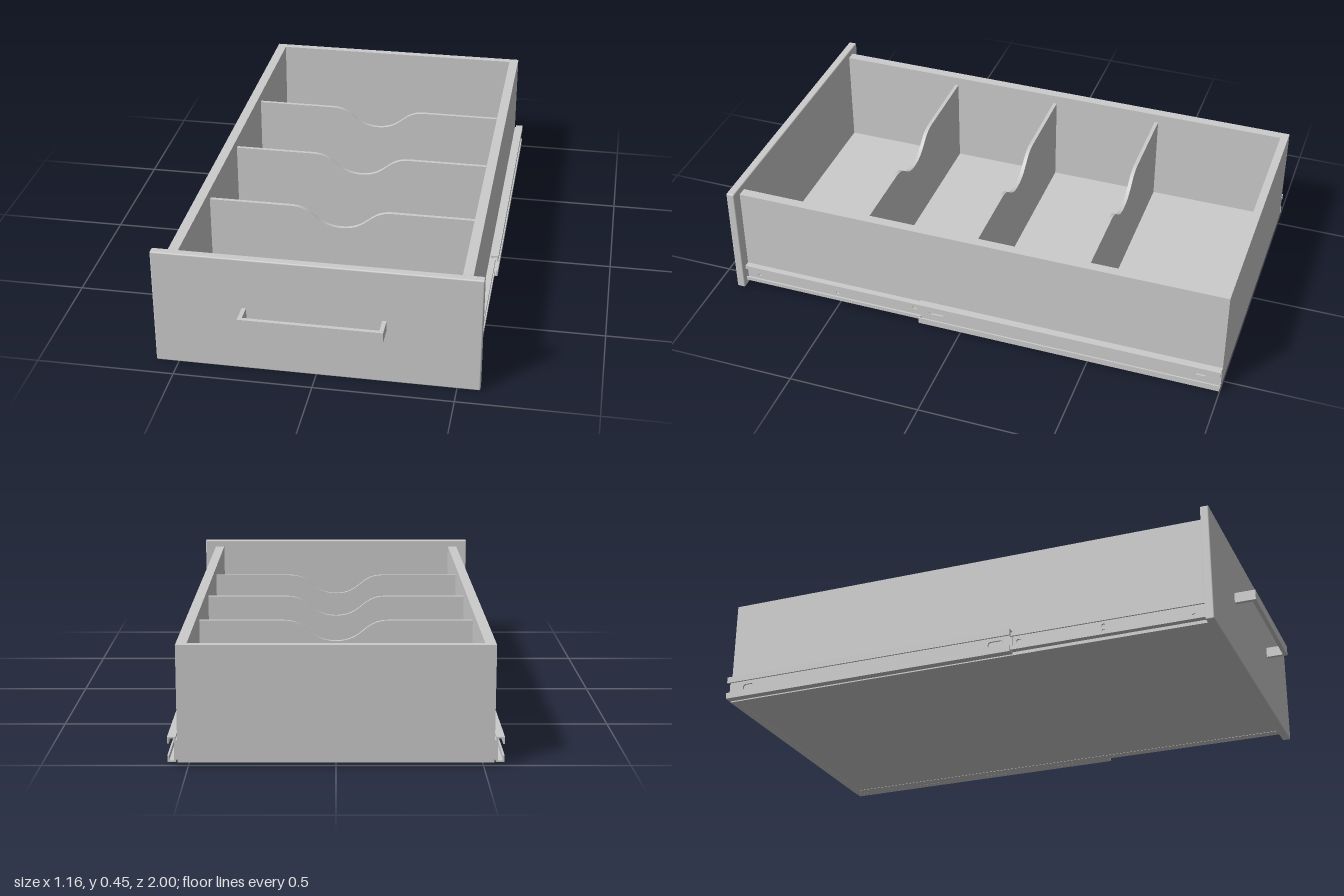
import * as THREE from 'three';
import { RoundedBoxGeometry } from 'three/addons/geometries/RoundedBoxGeometry.js';

const material = new THREE.MeshStandardMaterial({ color: 0xcccccc });

function add(parent, name, geometry) {
  const mesh = new THREE.Mesh(geometry, material);
  mesh.name = name;
  parent.add(mesh);
  return mesh;
}

// Box given by its limits on each axis
function block(parent, name, x0, x1, y0, y1, z0, z1) {
  const mesh = add(parent, name, new THREE.BoxGeometry(Math.abs(x1 - x0), y1 - y0, z1 - z0));
  mesh.position.set((x0 + x1) / 2, (y0 + y1) / 2, (z0 + z1) / 2);
  return mesh;
}

// Rounded slot outline, centred on (z, y)
function slot(z, y, length, radius) {
  const h = length / 2 - radius;
  const path = new THREE.Path();
  path.absarc(z + h, y, radius, -Math.PI / 2, Math.PI / 2, false);
  path.absarc(z - h, y, radius, Math.PI / 2, Math.PI * 1.5, false);
  path.closePath();
  return path;
}

// Upright plate in the z-y plane, pierced by slots, between x0 and x0 + thickness
function piercedWeb(parent, name, x0, thickness, y0, y1, z0, z1, slots) {
  const shape = new THREE.Shape();
  shape.moveTo(-z1, y0);
  shape.lineTo(-z0, y0);
  shape.lineTo(-z0, y1);
  shape.lineTo(-z1, y1);
  shape.closePath();
  for (const [z, y, length, radius] of slots) shape.holes.push(slot(-z, y, length, radius));
  const geometry = new THREE.ExtrudeGeometry(shape, { depth: thickness, bevelEnabled: false, curveSegments: 10 });
  geometry.rotateY(Math.PI / 2);
  add(parent, name, geometry).position.x = x0;
}

// Channel rail opening outward; s is the side (+1 or -1)
function rail(parent, name, s, inner, outer, y0, y1, lip, z0, z1, slots) {
  const t = 0.006;
  const group = new THREE.Group();
  group.name = name;
  parent.add(group);
  piercedWeb(group, 'railWeb', s > 0 ? inner : -inner - t, t, y0 + 0.002, y1 - 0.002, z0, z1, slots);
  block(group, 'upperFlange', s * inner, s * outer, y1 - t, y1, z0, z1);
  block(group, 'lowerFlange', s * inner, s * outer, y0, y0 + t, z0, z1);
  block(group, 'upperLip', s * (outer - t), s * outer, y1 - lip, y1 - t, z0, z1);
  block(group, 'lowerLip', s * (outer - t), s * outer, y0 + t, y0 + lip, z0, z1);
}

// Divider with a smooth finger dip in the middle of its top edge
function dividerGeometry(halfWidth, bottom, top, dip, thickness) {
  const shape = new THREE.Shape();
  shape.moveTo(-halfWidth, bottom);
  shape.lineTo(halfWidth, bottom);
  shape.lineTo(halfWidth, top);
  shape.lineTo(0.19, top);
  shape.bezierCurveTo(0.1, top, 0.1, top - dip, 0, top - dip);
  shape.bezierCurveTo(-0.1, top - dip, -0.1, top, -0.19, top);
  shape.lineTo(-halfWidth, top);
  shape.closePath();
  const geometry = new THREE.ExtrudeGeometry(shape, { depth: thickness, bevelEnabled: false, curveSegments: 16 });
  return geometry.translate(0, 0, -thickness / 2);
}

export function createModel() {
  const drawer = new THREE.Group();
  drawer.name = 'drawer';

  // Front panel with softened edges
  const front = add(drawer, 'frontPanel', new RoundedBoxGeometry(1.164, 0.447, 0.032, 2, 0.005));
  front.position.set(0, 0.2235, 0.906);

  // Drawer box
  block(drawer, 'floor', -0.5, 0.5, 0.011, 0.035, -0.97, 0.89);
  block(drawer, 'backWall', -0.5, 0.5, 0.01, 0.42, -1, -0.97);
  for (const s of [-1, 1]) block(drawer, 'sideWall', s * 0.5, s * 0.537, 0.01, 0.42, -1, 0.89);

  // Dividers
  for (const z of [-0.465, -0.033, 0.4]) {
    add(drawer, 'divider', dividerGeometry(0.5, 0.035, 0.385, 0.077, 0.014)).position.z = z;
  }

  // Handle: bar on two posts
  const handle = new THREE.Group();
  handle.name = 'handle';
  drawer.add(handle);
  block(handle, 'handleBar', -0.26, 0.25, 0.214, 0.253, 0.985, 1);
  block(handle, 'handlePost', -0.26, -0.245, 0.214, 0.253, 0.92, 0.985);
  block(handle, 'handlePost', 0.235, 0.25, 0.214, 0.253, 0.92, 0.985);

  // Telescopic runners on both sides
  for (const s of [-1, 1]) {
    rail(drawer, 'drawerRail', s, 0.537, 0.56, 0.022, 0.091, 0.015, 0.16, 0.89,
      [[0.84, 0.045, 0.014, 0.006], [0.51, 0.065, 0.014, 0.006], [0.51, 0.045, 0.014, 0.006], [0.19, 0.06, 0.02, 0.008]]);
    rail(drawer, 'cabinetRail', s, 0.542, 0.571, 0.012, 0.101, 0.024, -1, 0.165,
      [[0.1, 0.06, 0.06, 0.012], [-0.92, 0.06, 0.045, 0.012]]);
    block(drawer, 'railSpacer', s * 0.537, s * 0.542, 0.022, 0.091, -1, 0.16);
  }

  return drawer;
}
